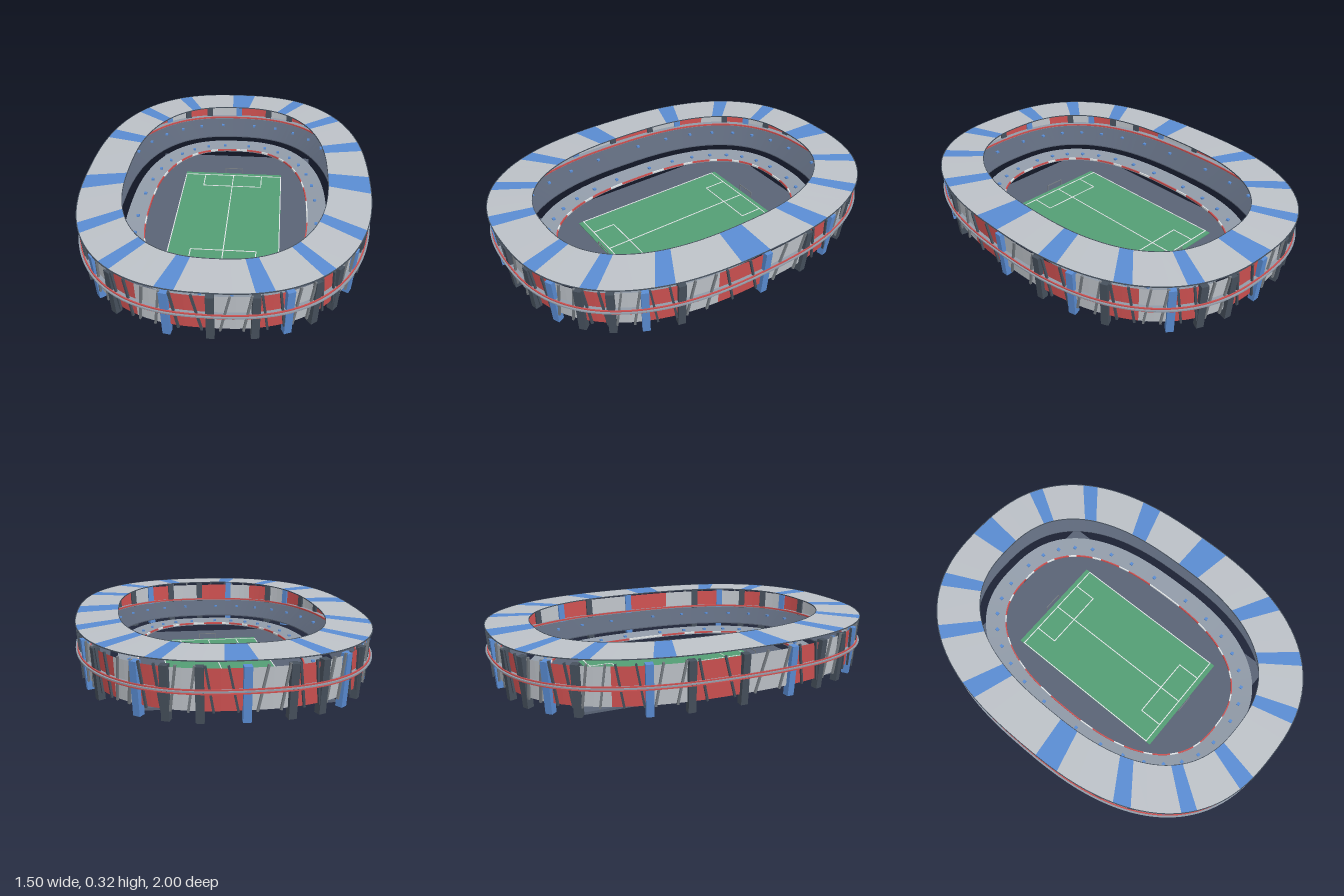
import * as THREE from 'three';

const mat = (name, color) => new THREE.MeshStandardMaterial({ name, color, side: THREE.DoubleSide });
const M = {
  panel: mat('pale grey', 0xbcc1c7),
  blue: mat('blue', 0x5a8cd2),
  red: mat('red', 0xcc5050),
  dark: mat('dark slate', 0x46505c),
  steel: mat('steel grey', 0x767c82),
  stand: mat('stand grey', 0x919ba8),
  ground: mat('ground slate', 0x5a6476),
  grass: mat('grass green', 0x549e74),
  white: mat('line white', 0xe4e8ea),
};
const TAU = Math.PI * 2;

// Rounded oval plan, inset by d from the outermost outline
function oval(d, t, y) {
  const c = Math.cos(t), s = Math.sin(t);
  return new THREE.Vector3(
    (0.75 - d) * Math.sign(c) * Math.abs(c) ** 0.8, y,
    (1 - d) * Math.sign(s) * Math.abs(s) ** 0.8);
}

// Sweeps a profile of [inset, height] points along part of the oval
function sweep(profile, t0 = 0, t1 = TAU, segs = 118) {
  const pos = [], idx = [], n = profile.length;
  for (let i = 0; i <= segs; i++) {
    const t = t0 + (t1 - t0) * i / segs;
    for (const [d, y] of profile) pos.push(...oval(d, t, y).toArray());
  }
  for (let i = 0; i < segs; i++) {
    for (let k = 0; k < n - 1; k++) {
      const a = i * n + k, b = a + n;
      idx.push(a, a + 1, b, a + 1, b + 1, b);
    }
  }
  const g = new THREE.BufferGeometry();
  g.setAttribute('position', new THREE.Float32BufferAttribute(pos, 3));
  g.setIndex(idx);
  const flat = g.toNonIndexed();
  flat.computeVertexNormals();
  return flat;
}

// Closed rectangular section between two insets
const slab = (d0, y0, d1, y1, h) => [[d0, y0], [d1, y1], [d1, y1 - h], [d0, y0 - h], [d0, y0]];

export function createModel() {
  const model = new THREE.Group();
  model.name = 'stadium';

  const group = (name) => {
    const g = new THREE.Group();
    g.name = name;
    model.add(g);
    return g;
  };
  const add = (parent, name, geo, material) => {
    const m = new THREE.Mesh(geo, material);
    m.name = name;
    parent.add(m);
    return m;
  };
  const box = (parent, name, material, w, h, d, x, y, z) => {
    const m = add(parent, name, new THREE.BoxGeometry(w, h, d), material);
    m.position.set(x, y, z);
    return m;
  };
  // Box running from p0 to p1, its width along the oval's tangent at t
  const beam = (parent, name, material, p0, p1, w, depth, t) => {
    const up = p1.clone().sub(p0), len = up.length();
    up.normalize();
    const side = oval(0, t + 0.03, 0).sub(oval(0, t - 0.03, 0)).normalize();
    const out = side.clone().cross(up).normalize();
    side.crossVectors(up, out);
    const m = add(parent, name, new THREE.BoxGeometry(w, len, depth), material);
    m.quaternion.setFromRotationMatrix(new THREE.Matrix4().makeBasis(side, up, out));
    m.position.copy(p0).add(p1).multiplyScalar(0.5);
  };

  // Ground slab and pitch
  box(model, 'groundSlab', M.ground, 0.92, 0.012, 1.4, 0, 0.006, 0);
  const pitch = group('pitch');
  box(pitch, 'grass', M.grass, 0.58, 0.005, 0.94, 0, 0.0145, 0);
  const line = (x, z, w, l) => box(pitch, 'pitchLine', M.white, w, 0.002, l, x, 0.018, z);
  const lw = 0.005;
  line(0, 0, lw, 0.89);
  for (const s of [-1, 1]) {
    line(s * 0.287, 0, lw, 0.89);
    line(0, s * 0.443, 0.58, lw);
    line(0, s * 0.318, 0.34, lw);
    line(s * 0.17, s * 0.38, lw, 0.125);
    line(-s * 0.17, s * 0.38, lw, 0.125);
    // Goals
    for (const x of [-0.05, 0.05]) box(pitch, 'goalPost', M.steel, 0.004, 0.035, 0.004, x, 0.0295, s * 0.478);
    box(pitch, 'goalBar', M.steel, 0.104, 0.004, 0.004, 0, 0.047, s * 0.478);
  }

  // Lower and upper seating tiers with an open gap between them
  const stands = group('stands');
  add(stands, 'lowerTier', sweep(slab(0.315, 0.062, 0.21, 0.076, 0.008)), M.stand);
  add(stands, 'upperTier', sweep(slab(0.17, 0.088, 0.035, 0.166, 0.006)), M.ground);
  for (let i = 0; i < 64; i++) {
    const t0 = TAU * i / 64, t1 = TAU * (i + 1) / 64;
    add(stands, 'frontRail', sweep(slab(0.319, 0.07, 0.313, 0.07, 0.01), t0, t1, 2),
      i % 3 ? M.red : M.white);
  }
  // Seat blocks
  for (let i = 0; i < 32; i++) {
    const t = TAU * (i + 0.5) / 32;
    for (const [d, y] of [[0.268, 0.072], [0.1, 0.133]]) {
      const p = oval(d, t, y);
      box(stands, 'seatBlock', M.blue, 0.016, 0.01, 0.016, p.x, p.y, p.z);
    }
  }

  // Walkway ring around the middle of the wall, with red rails
  const walkway = group('walkway');
  add(walkway, 'walkwayDeck', sweep(slab(0.075, 0.175, 0, 0.175, 0.006)), M.stand);
  add(walkway, 'innerRail', sweep(slab(0.079, 0.182, 0.073, 0.182, 0.009)), M.red);
  add(walkway, 'outerRail', sweep(slab(0.014, 0.181, 0.008, 0.181, 0.006)), M.red);
  add(walkway, 'lowerRail', sweep(slab(0.018, 0.163, 0.01, 0.163, 0.005)), M.red);

  // Facade: alternating panels, columns and slanted struts
  const facade = group('facade');
  const bay = TAU / 32;
  for (let i = 0; i < 32; i++) {
    const t = i * bay, even = i % 2 === 0;
    add(facade, 'wallPanel', sweep([[0.04, 0.078], [0.03, 0.265]], t, t + bay, 4),
      even ? M.red : M.panel);
    if (i % 9 !== 1) {
      beam(facade, 'column', i % 3 ? M.dark : M.blue,
        oval(0.042, t, 0.03), oval(0.022, t, 0.277), 0.036, 0.034, t);
    }
    for (const f of [0.22, 0.75]) {
      const tm = t + f * bay, lean = (even ? 1 : -1) * 0.1 * bay;
      beam(facade, 'strut', even ? M.dark : M.steel,
        oval(0.03, tm - lean, 0.075), oval(0.016, tm + lean, 0.28), 0.01, 0.01, tm);
    }
  }

  // Roof ring: 59 panels, every fourth one blue
  const roof = group('roof');
  for (let i = 0; i < 59; i++) {
    add(roof, 'roofPanel', sweep([[0.22, 0.316], [0.004, 0.304]], TAU * i / 59, TAU * (i + 1) / 59, 1),
      i % 4 ? M.panel : M.blue);
  }
  add(roof, 'outerRim', sweep(slab(0.006, 0.305, 0.002, 0.305, 0.004)), M.dark);
  add(roof, 'innerRim', sweep(slab(0.222, 0.318, 0.219, 0.318, 0.005)), M.dark);

  return model;
}
